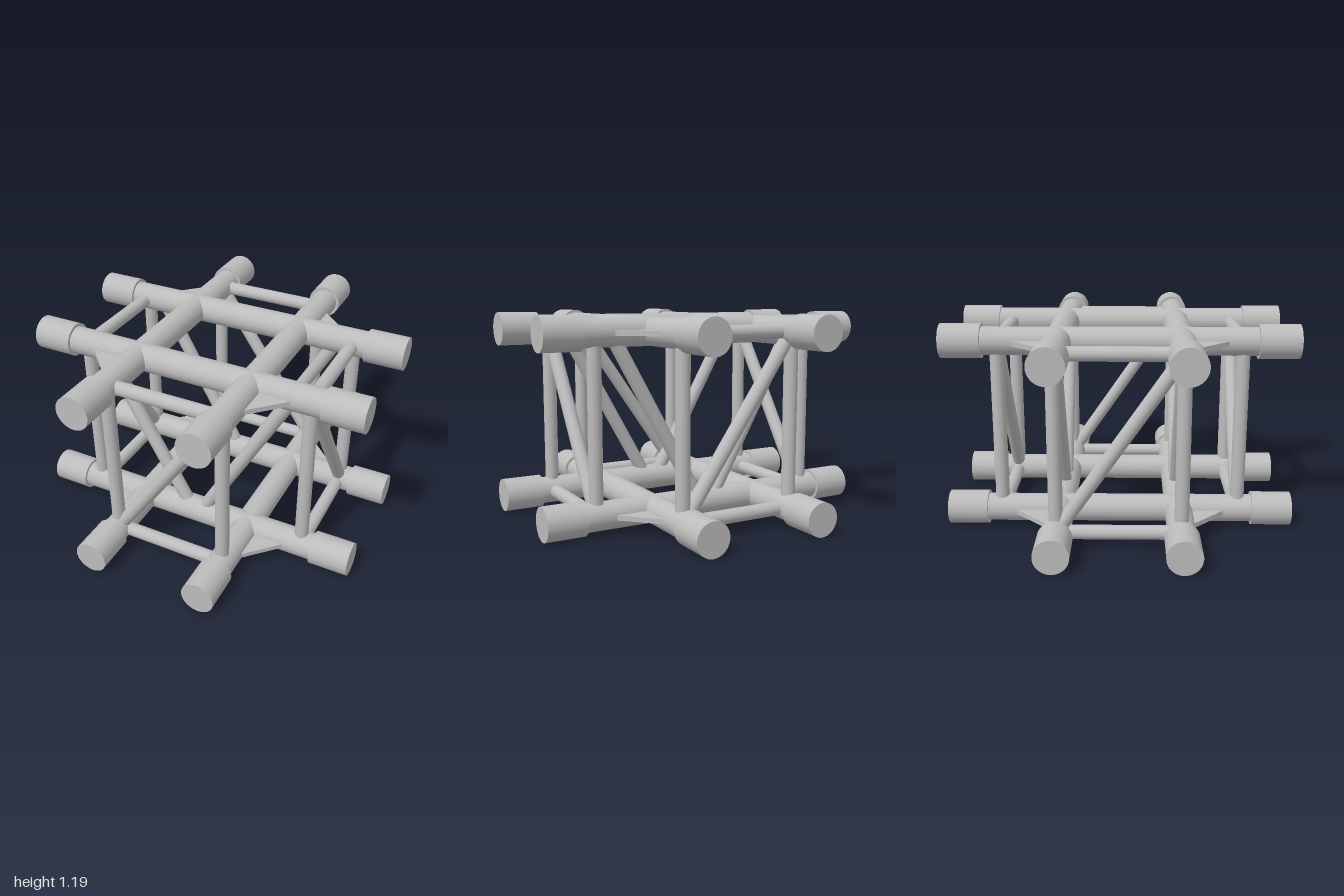
import * as THREE from 'three';

const LOW = 0.097, HIGH = 1.096;   // heights of the two chord levels
const SIDE = 0.345, OUT = 0.69;    // chord offset and outer frame offset
const LEVELS = [LOW, HIGH], SIGNS = [-1, 1];

export function createModel() {
  const model = new THREE.Group();
  model.name = 'trussCrossJunction';
  const aluminium = new THREE.MeshStandardMaterial({ color: 0xbcbcbc });
  aluminium.name = 'aluminium grey';

  // Round tube between two points
  function tube(name, a, b, radius, sides = 24) {
    const from = new THREE.Vector3(...a), to = new THREE.Vector3(...b);
    const dir = to.clone().sub(from);
    const mesh = new THREE.Mesh(
      new THREE.CylinderGeometry(radius, radius, dir.length(), sides), aluminium);
    mesh.position.copy(from).add(to).multiplyScalar(0.5);
    mesh.quaternion.setFromUnitVectors(new THREE.Vector3(0, 1, 0), dir.normalize());
    mesh.name = name;
    model.add(mesh);
  }

  // Triangular plate for the outer corners, lying flat
  const corner = new THREE.Shape([
    new THREE.Vector2(0.36, 0.36),
    new THREE.Vector2(0.665, 0.36),
    new THREE.Vector2(0.36, 0.665),
  ]);
  const plateGeometry = new THREE.ExtrudeGeometry(corner, { depth: 0.028, bevelEnabled: false });
  plateGeometry.translate(0, 0, -0.014).rotateX(-Math.PI / 2);

  for (const y of LEVELS) {
    for (const s of SIGNS) {
      // Main chords in both directions
      tube('chordX', [-0.99, y, s * SIDE], [0.99, y, s * SIDE], 0.08, 40);
      tube('chordZ', [s * SIDE, y, -0.99], [s * SIDE, y, 0.99], 0.08, 40);
      // Thick end sleeves
      for (const e of SIGNS) {
        tube('endSleeveX', [e * 0.77, y, s * SIDE], [e, y, s * SIDE], 0.097, 40);
        tube('endSleeveZ', [s * SIDE, y, e * 0.77], [s * SIDE, y, e], 0.097, 40);
      }
      // Thin rungs joining each pair of chords
      tube('rungX', [-SIDE, y, s * OUT], [SIDE, y, s * OUT], 0.04);
      tube('rungZ', [s * OUT, y, -SIDE], [s * OUT, y, SIDE], 0.04);
    }
    // Corner plates, one per quarter turn
    for (let i = 0; i < 4; i++) {
      const plate = new THREE.Mesh(plateGeometry, aluminium);
      plate.name = 'cornerPlate';
      plate.position.y = y;
      plate.rotation.y = i * Math.PI / 2;
      model.add(plate);
    }
  }

  for (const s of SIGNS) {
    for (const t of SIGNS) {
      // Uprights of the four outer frames
      tube('uprightZ', [s * SIDE, LOW, t * OUT], [s * SIDE, HIGH, t * OUT], 0.04);
      tube('uprightX', [s * OUT, LOW, t * SIDE], [s * OUT, HIGH, t * SIDE], 0.04);
      // Steep braces inside the x chords
      tube('steepBrace', [s * 0.035, LOW, t * SIDE], [s * 0.595, HIGH, t * SIDE], 0.04);
    }
    // Diagonal braces of the outer frames
    tube('frameBraceZ', [-s * SIDE, LOW, s * OUT], [s * SIDE, HIGH, s * OUT], 0.04);
    tube('frameBraceX', [s * OUT, LOW, -SIDE], [s * OUT, HIGH, SIDE], 0.04);
  }
  return model;
}
